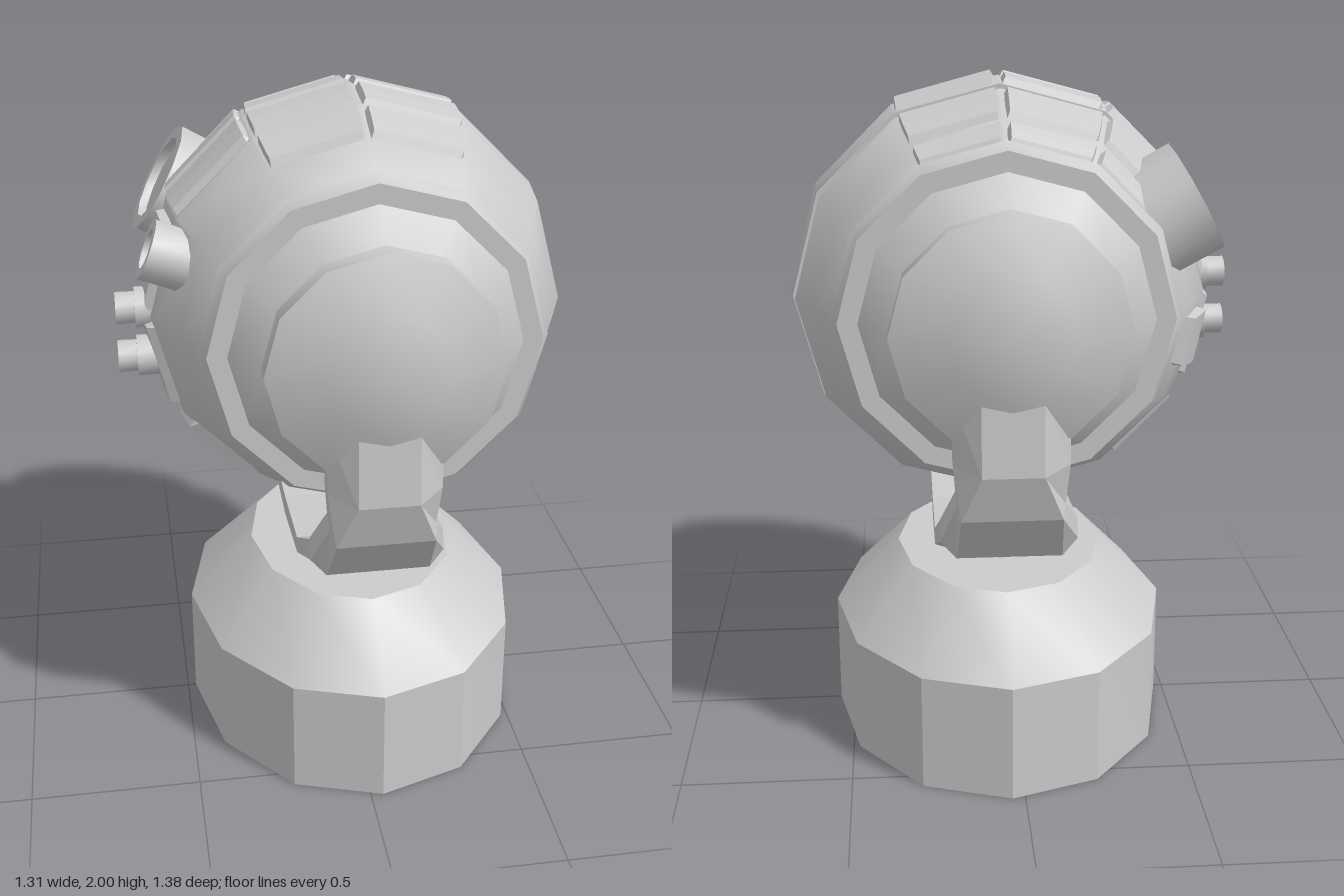
import * as THREE from 'three';
import { toCreasedNormals } from 'three/addons/utils/BufferGeometryUtils.js';

const R = 0.615; // ball radius
const SIDES = 12;
const rad = THREE.MathUtils.degToRad;
const smooth = new THREE.MeshStandardMaterial({ color: 0xcccccc });
const flat = new THREE.MeshStandardMaterial({ color: 0xcccccc, flatShading: true });

function add(parent, name, geometry, material = smooth) {
  const mesh = new THREE.Mesh(geometry, material);
  mesh.name = name;
  parent.add(mesh);
  return mesh;
}

// Low-sided turned part; profile is [radius, height] from bottom to top
function turned(profile, sides = SIDES) {
  return new THREE.LatheGeometry(profile.map(([r, h]) => new THREE.Vector2(r, h)), sides);
}
const crease = (g) => toCreasedNormals(g, 0.54);
const alongZ = (profile) => crease(turned(profile).rotateX(Math.PI / 2));

// Surface through rows of points
function sheet(rows) {
  const n = rows[0].length, index = [];
  for (let i = 0; i < rows.length - 1; i++) {
    for (let j = 0; j < n - 1; j++) {
      const a = i * n + j, b = a + n;
      index.push(a, b, b + 1, a, b + 1, a + 1);
    }
  }
  const g = new THREE.BufferGeometry().setFromPoints(rows.flat());
  g.setIndex(index);
  const out = g.toNonIndexed();
  out.computeVertexNormals();
  return out;
}

// Bevelled armour plate lying on one facet of the ball
function plate(a0, a1, z0, z1, lift = 0.017) {
  const at = (a, z, off) => {
    const r = Math.sqrt(R * R - z * z) + off;
    return new THREE.Vector3(r * Math.cos(rad(a)), r * Math.sin(rad(a)), z);
  };
  const bevel = 0.018;
  const zs = [z0, z0 + bevel, (z0 + z1) / 2, z1 - bevel, z1];
  return sheet([0, 0.06, 0.94, 1].map((t, i) => zs.map((z, j) => {
    const edge = i === 0 || i === 3 || j === 0 || j === 4;
    const off = edge ? -0.02 : lift;
    return at(a0, z, off).lerp(at(a1, z, off), t);
  })));
}

// Hollow-ended tube pointing outward at an angle in the xy plane
function fitting(r, bore, depth, length, angle, x, y, z) {
  const g = turned([[r * 0.98, -length], [r, 0], [bore, 0], [bore, -depth], [0, -depth]]);
  return crease(g.rotateZ(rad(angle - 90)).translate(x, y, z));
}

function buildBall() {
  const ball = new THREE.Group();
  ball.name = 'ball';

  // Shell with one recessed groove
  const shell = [];
  for (let a = -90; a <= 90; a += 15) {
    const r = Math.abs(a) === 90 ? 0 : R * Math.cos(rad(a));
    shell.push([r, R * Math.sin(rad(a))]);
    if (a === -15) shell.push([r - 0.03, -0.159], [r - 0.03, -0.115], [0.603, -0.115]);
  }
  add(ball, 'shell', alongZ(shell));

  // Raised rings and pivot caps at both ends
  const ring = [[0.42, 0.405], [0.475, 0.405], [0.488, 0.42], [0.465, 0.455], [0.40, 0.455]];
  const cap = [[0.27, 0.545], [0.328, 0.545], [0.328, 0.605], [0.17, 0.667], [0, 0.69]];
  for (const s of [1, -1]) {
    const end = new THREE.Group();
    end.name = s > 0 ? 'frontEnd' : 'backEnd';
    add(end, 'ring', alongZ(ring));
    add(end, 'pivotCap', alongZ(cap));
    if (s < 0) end.rotation.y = Math.PI;
    ball.add(end);
  }

  // Armour plates over the top
  const bands = [[-0.405, -0.322], [-0.318, -0.162], [-0.112, -0.004], [0.0, 0.158], [0.162, 0.3]];
  bands.forEach(([z0, z1], k) => {
    for (const a of [60, 90, 120]) {
      if (k === 4 && a === 120) continue;
      add(ball, 'armourPlate', plate(a, a + 30, z0, z1), flat);
    }
  });

  // Side panels around the instruments
  const panels = [[152, 179, 0.0, 0.14], [181, 207, -0.1, 0.16], [212, 237, -0.1, 0.2], [183, 200, -0.33, -0.18]];
  for (const p of panels) add(ball, 'sidePanel', plate(...p), flat);

  // Instruments: large lens, small lens and two stepped plugs
  add(ball, 'largeLens', fitting(0.17, 0.13, 0.025, 0.24, 151, -0.545, 0.30, -0.24));
  add(ball, 'smallLens', fitting(0.088, 0.058, 0.06, 0.15, 158, -0.602, 0.23, 0.2));
  for (const y of [0.01, -0.14]) {
    add(ball, 'plugFlange', fitting(0.06, 0.02, 0.01, 0.09, 180, -0.64, y, 0.07));
    add(ball, 'plugTip', fitting(0.047, 0.027, 0.04, 0.08, 180, -0.695, y, 0.07));
  }
  return ball;
}

// U-shaped yoke, lofted from one cap under the ball to the other
function yokeGeometry() {
  // outer z, outer y, inner z, inner y, outer half width, half width, chamfer
  const half = [
    [0.655, 1.2, 0.55, 1.2, 0.085, 0.16, 0.55],
    [0.67, 0.995, 0.545, 1.02, 0.085, 0.16, 0.55],
    [0.63, 0.857, 0.52, 0.91, 0.14, 0.15, 0.5],
    [0.51, 0.70, 0.47, 0.80, 0.15, 0.195, 0.45],
    [0.285, 0.614, 0.285, 0.70, 0.1, 0.205, 0.4],
    [0, 0.587, 0, 0.685, 0.06, 0.205, 0.35],
  ];
  const mirrored = half.slice(0, -1).reverse().map(([a, b, c, ...rest]) => [-a, b, -c, ...rest]);
  const rows = [...half, ...mirrored].map(([oz, oy, iz, iy, ow, w, f]) => {
    const p = (x, t) => new THREE.Vector3(x, oy + (iy - oy) * t, oz + (iz - oz) * t);
    return [p(-ow, 0), p(ow, 0), p(w, f), p(w, 1), p(-w, 1), p(-w, f), p(-ow, 0)];
  });
  return sheet(rows);
}

// Oval pedestal with a sloping shoulder
function baseGeometry() {
  const g = turned([[0, 0], [0.64, 0], [0.64, 0.35], [0.425, 0.55], [0, 0.55]]);
  const p = g.attributes.position;
  for (let i = 0; i < p.count; i++) p.setX(i, p.getX(i) * (p.getY(i) > 0.5 ? 0.74 : 0.8));
  return crease(g);
}

export function createModel() {
  const model = new THREE.Group();
  model.name = 'swivelTurret';
  const body = new THREE.Group();
  body.name = 'body';
  body.position.x = 0.037;
  model.add(body);

  add(body, 'base', baseGeometry());
  add(body, 'neck', crease(turned([[0.175, 0.54], [0.175, 0.615], [0, 0.615]])));
  add(body, 'yoke', yokeGeometry(), flat);
  const ball = buildBall();
  ball.position.y = 1.37;
  body.add(ball);
  return model;
}
